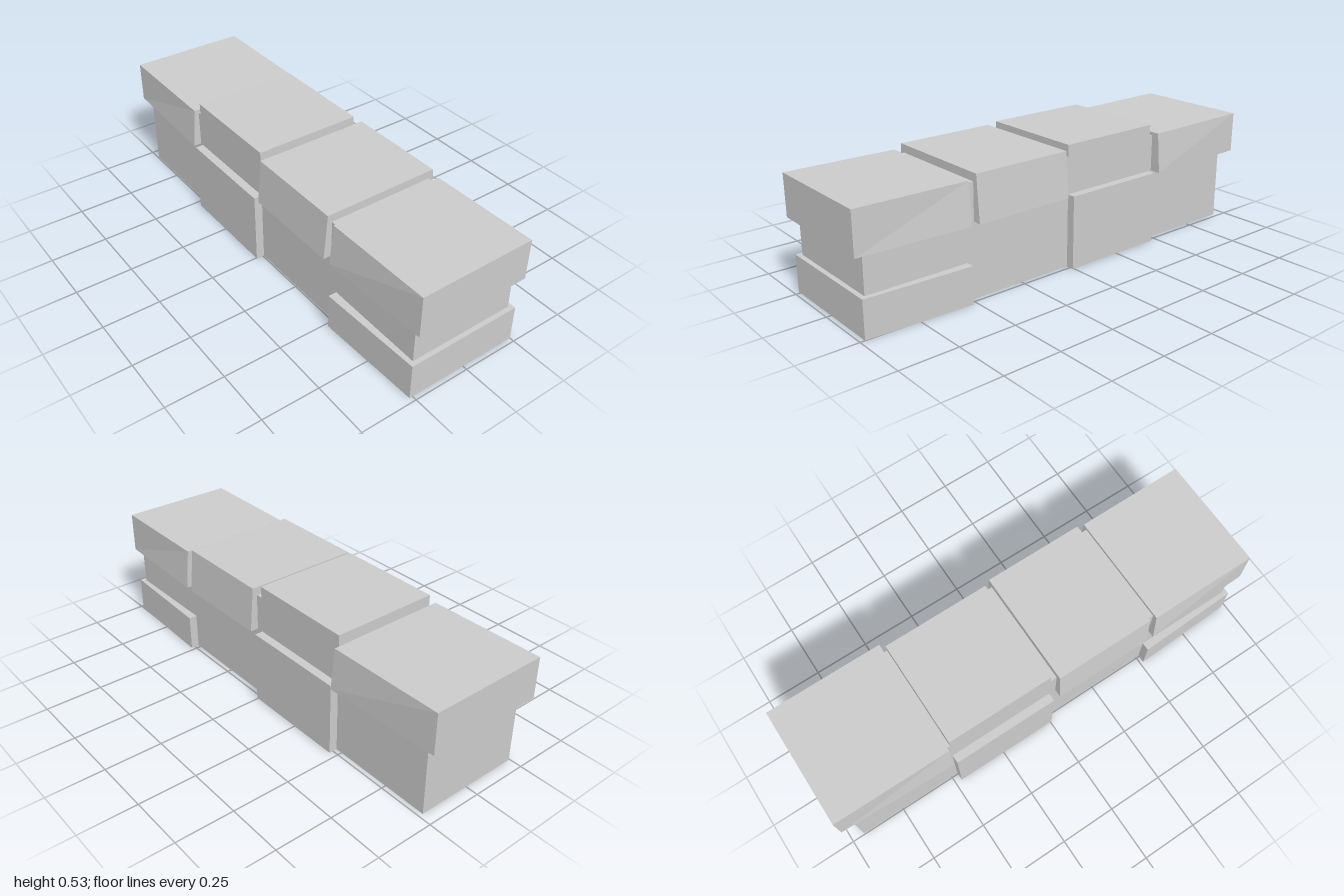
import * as THREE from 'three';

const CORE = 0.2375, SHIFT = -0.007;

// Cross-section of the open-bottomed shell: lower band, core band, upper band.
// z may be one value or one per band, so that the ends can be stepped.
function section(z, lower, core, upperBase, upperTop, top, lowerTop = 0.16, upperShift = SHIFT) {
  const [z0, z1, z2] = Array.isArray(z) ? z : [z, z, z];
  const half = [
    [lower, 0, z0, SHIFT], [lower, lowerTop, z0, SHIFT],
    [core, lowerTop, z1, SHIFT], [core, 0.32, z1, SHIFT],
    [upperBase, 0.32, z2, upperShift], [upperTop, top, z2, upperShift],
  ];
  const at = (s) => ([w, y, zz, c]) => new THREE.Vector3(c + s * w, y, zz);
  return [...half.map(at(1)), ...half.map(at(-1)).reverse()];
}

const gap = (z) => section(z, CORE, CORE, CORE, CORE, 0.48);

// Flat-shaded mesh from quads, leaving out collapsed triangles
function quadMesh(name, quads, material) {
  const points = [];
  for (const [a, b, c, d] of quads) {
    for (const tri of [[a, b, c], [a, c, d]]) {
      if (new THREE.Triangle(...tri).getArea() > 1e-7) points.push(...tri);
    }
  }
  const geometry = new THREE.BufferGeometry().setFromPoints(points);
  geometry.computeVertexNormals();
  const mesh = new THREE.Mesh(geometry, material);
  mesh.name = name;
  return mesh;
}

// Skin between two sections
function skin(a, b) {
  const quads = [];
  for (let i = 0; i < a.length - 1; i++) quads.push([a[i], b[i], b[i + 1], a[i + 1]]);
  return quads;
}

// Stepped wall closing one end, left open underneath
function cap(s, front) {
  const quads = [];
  for (let i = 0; i < 5; i++) {
    const q = [s[i], s[i + 1], s[10 - i], s[11 - i]];
    quads.push(front ? q : q.reverse());
  }
  return quads;
}

export function createModel() {
  const group = new THREE.Group();
  group.name = 'blockWall';
  const material = new THREE.MeshStandardMaterial({
    color: 0xcccccc, flatShading: true, side: THREE.DoubleSide,
  });

  // Segments from front to back, each with its front and rear section
  const segments = [
    ['frontBlocks', section([0.98, 0.96, 1], 0.257, CORE, 0.257, 0.257, 0.5),
      section(0.515, 0.274, CORE, 0.274, 0.257, 0.495)],
    ['frontJoint', gap(0.515), gap(0.48)],
    ['frontMiddleBlock', section(0.48, CORE, CORE, 0.274, 0.257, 0.515),
      section(0.035, CORE, CORE, 0.274, 0.257, 0.515)],
    ['middleJoint', gap(0.035), gap(0.005)],
    ['rearMiddleBlocks', section(0.005, 0.274, 0.274, CORE, CORE, 0.53),
      section(-0.47, 0.274, 0.274, CORE, CORE, 0.53)],
    ['rearJoint', gap(-0.47), gap(-0.485)],
    ['rearBlock', section(-0.485, CORE, CORE, 0.28, 0.264, 0.495, 0.16, 0),
      section([-0.945, -0.945, -1], CORE, CORE, 0.263, 0.263, 0.5, 0.16, 0)],
  ];

  segments.forEach(([name, a, b], i) => {
    const quads = skin(a, b);
    // Step to the next segment, or the end wall
    if (i === 0) quads.push(...cap(a, true));
    if (i < segments.length - 1) quads.push(...skin(b, segments[i + 1][1]));
    else quads.push(...cap(b, false));
    group.add(quadMesh(name, quads, material));
  });
  return group;
}
